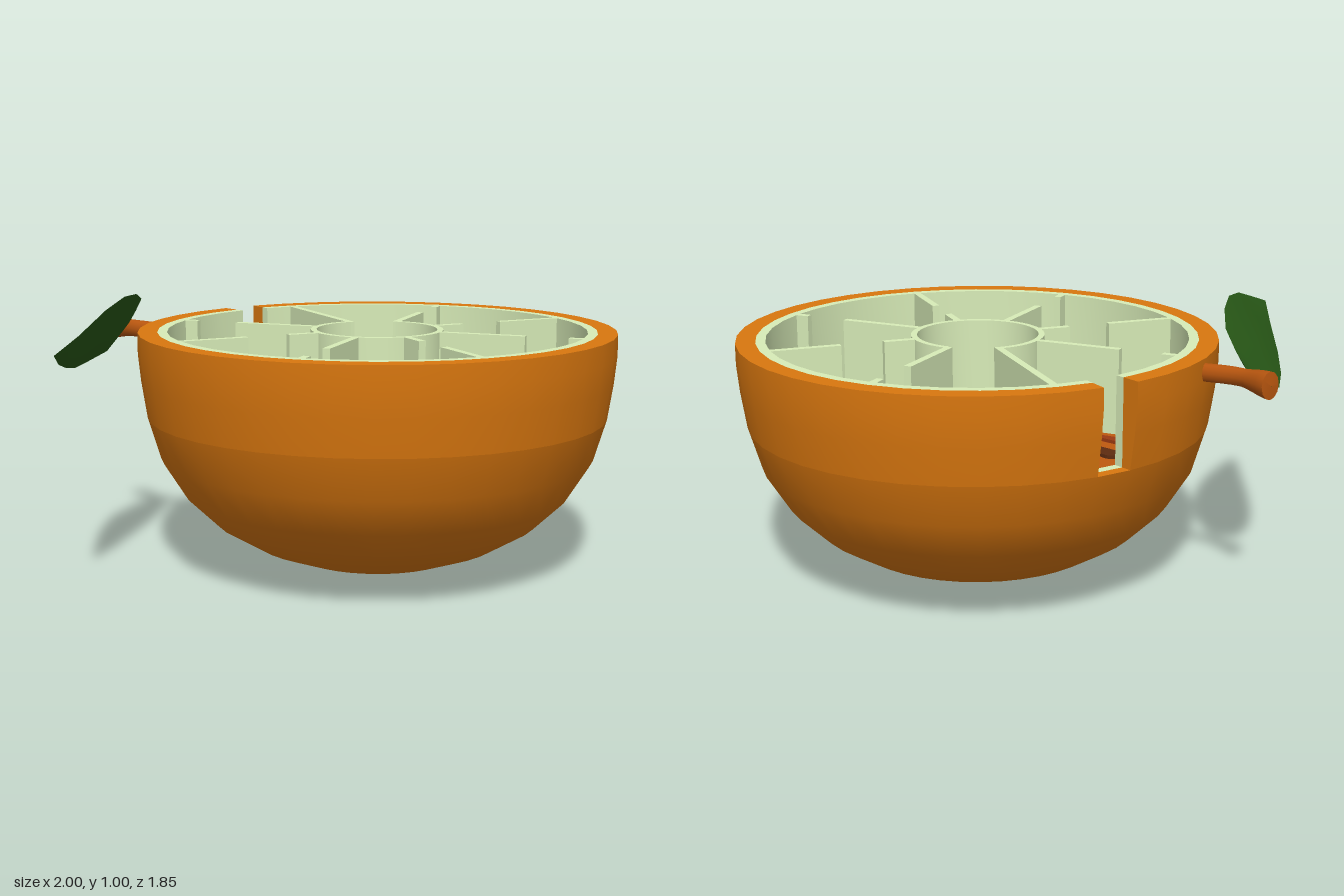
import * as THREE from 'three';
import { toCreasedNormals } from 'three/addons/utils/BufferGeometryUtils.js';

const FLOOR = 0.57, TOP = 0.875, SEG = 40;
const deg = THREE.MathUtils.degToRad;
const mat = (color, side = THREE.FrontSide) => {
  const m = new THREE.MeshStandardMaterial({ color, side });
  return m;
};
const rindMat = mat(0xd9770f), rindCut = mat(0xd9770f, THREE.DoubleSide);
const pithMat = mat(0xd8ecb8), pithCut = mat(0xd8ecb8, THREE.DoubleSide);
const pulpMat = mat(0xbf5a10), seedMat = mat(0x5f2c10), fleshMat = mat(0x9c3a12);
const leafMat = mat(0x2a5c18), stemMat = mat(0xb8560f);

const vecs = (pts) => pts.map(([x, y]) => new THREE.Vector2(x, y));

function add(parent, name, geometry, material) {
  const mesh = new THREE.Mesh(geometry, material);
  mesh.name = name;
  parent.add(mesh);
  return mesh;
}

// Revolved profile, optionally only part of the turn (degrees from +z)
function turned(parent, name, pts, material, start = 0, length = 360) {
  const segs = Math.round(SEG * length / 360);
  const geo = new THREE.LatheGeometry(vecs(pts), segs, deg(start), deg(length));
  return add(parent, name, toCreasedNormals(geo, 0.7), material);
}

// Partial ring with a flat cut face at each end
function cutRing(parent, name, pts, material, cutMaterial, start, length) {
  turned(parent, name, [...pts, pts[0]], material, start, length);
  for (const a of [start, start + length]) {
    const cap = add(parent, name + 'Cut', new THREE.ShapeGeometry(new THREE.Shape(vecs(pts))), cutMaterial);
    cap.rotation.y = deg(a - 90);
  }
}

// Upright divider along a radius; angle measured from +x towards +z
function divider(parent, angle, r0, r1) {
  const pivot = new THREE.Group();
  pivot.name = 'divider';
  pivot.rotation.y = -deg(angle);
  parent.add(pivot);
  const wall = add(pivot, 'dividerWall', new THREE.BoxGeometry(r1 - r0, TOP - FLOOR, 0.027), pithMat);
  wall.position.set((r0 + r1) / 2, (TOP + FLOOR) / 2, 0);
}

// Flat teardrop lying on the floor, point towards the middle
function teardrop(parent, name, angle, r0, r1, half, material) {
  const s = new THREE.Shape();
  const c = r1 - half;
  s.moveTo(r0, 0);
  s.lineTo(c, -half);
  s.absarc(c, 0, half, -Math.PI / 2, Math.PI / 2, false);
  s.lineTo(r0, 0);
  const geo = new THREE.ExtrudeGeometry(s, { depth: 0.012, bevelEnabled: false, curveSegments: 5 });
  geo.rotateX(-Math.PI / 2);
  const mesh = add(parent, name, geo, material);
  mesh.position.y = FLOOR;
  mesh.rotation.y = -deg(angle);
}

// Thin lens-shaped leaf from cross-sections: z, upper edge x/y, lower edge x/y
function leafGeometry() {
  const rows = [
    [-0.065, -0.86, 0.865, -0.862, 0.86], [-0.04, -0.82, 0.905, -0.885, 0.815],
    [0.03, -0.76, 0.96, -0.91, 0.755], [0.18, -0.705, 0.995, -0.914, 0.735],
    [0.35, -0.665, 1.005, -0.87, 0.74], [0.54, -0.64, 0.98, -0.80, 0.77],
    [0.77, -0.623, 0.92, -0.70, 0.82], [0.92, -0.63, 0.876, -0.632, 0.874],
  ];
  const pos = [], idx = [];
  for (const [z, ux, uy, lx, ly] of rows) {
    const mx = (ux + lx) / 2, my = (uy + ly) / 2;
    const w = Math.hypot(ux - lx, uy - ly), t = 0.035;
    const nx = -(uy - ly) * t, ny = (ux - lx) * t;
    pos.push(ux, uy, z, mx + nx, my + ny, z, lx, ly, z, mx - nx, my - ny, z);
  }
  for (let i = 0; i < rows.length - 1; i++) {
    for (let j = 0; j < 4; j++) {
      const a = i * 4 + j, b = i * 4 + (j + 1) % 4;
      idx.push(a, b, b + 4, a, b + 4, a + 4);
    }
  }
  const geo = new THREE.BufferGeometry();
  geo.setAttribute('position', new THREE.Float32BufferAttribute(pos, 3));
  geo.setIndex(idx);
  return toCreasedNormals(geo, 0.3);
}

// Tapered stem flaring at its free end
function stemGeometry() {
  const path = new THREE.CatmullRomCurve3([
    new THREE.Vector3(-0.985, 0.83, -0.165), new THREE.Vector3(-0.92, 0.83, -0.125),
    new THREE.Vector3(-0.84, 0.83, -0.088), new THREE.Vector3(-0.69, 0.825, -0.065),
  ]);
  const n = 14, radial = 12;
  const geo = new THREE.TubeGeometry(path, n, 1, radial);
  const p = geo.attributes.position, v = new THREE.Vector3();
  for (let i = 0; i < p.count; i++) {
    const t = Math.floor(i / (radial + 1)) / n;
    const c = path.getPointAt(t);
    const r = t === 0 ? 0.001 : 0.024 + 0.015 * Math.max(0, 1 - t * 2.6);
    v.fromBufferAttribute(p, i).sub(c).multiplyScalar(r);
    v.y *= 1.35;
    v.add(c);
    if (t > 0 && t < 1.5 / n) v.lerp(v.clone().add(path.getPointAt(0)).sub(c), 0.8);
    p.setXYZ(i, v.x, v.y, v.z);
  }
  geo.deleteAttribute('normal');
  return toCreasedNormals(geo, 0.8);
}

export function createModel() {
  const model = new THREE.Group();
  model.name = 'halfFruitMaze';
  const fruit = new THREE.Group();
  fruit.name = 'halfFruit';
  fruit.position.set(0.135, 0, -0.065);
  model.add(fruit);

  // Rind: solid lower bowl, then an upper wall with one doorway
  turned(fruit, 'lowerRind', [[0, 0], [0.15, 0.02], [0.30, 0.043], [0.455, 0.1], [0.59, 0.18],
    [0.70, 0.285], [0.785, 0.42], [0.83, FLOOR], [0.79, FLOOR]], rindMat);
  cutRing(fruit, 'upperRind', [[0.83, FLOOR], [0.85, 0.7], [0.86, 0.8], [0.86, TOP], [0.79, TOP], [0.79, FLOOR]],
    rindMat, rindCut, 243, 351);

  // Pith lining and its doorsill
  cutRing(fruit, 'pithWall', [[0.79, FLOOR], [0.79, TOP], [0.755, TOP], [0.755, FLOOR]], pithMat, pithCut, 243, 351);
  turned(fruit, 'pithSill', [[0.79, FLOOR], [0.755, FLOOR]], pithMat);

  // Pulp floor
  const floor = add(fruit, 'pulpFloor', new THREE.CircleGeometry(0.755, SEG), pulpMat);
  floor.rotation.x = -Math.PI / 2;
  floor.position.y = FLOOR;

  // Open ring in the middle
  cutRing(fruit, 'coreRing', [[0.24, FLOOR], [0.24, TOP], [0.218, TOP], [0.218, FLOOR]], pithMat, pithCut, 225, 315);

  // Maze dividers: straight ones with an outer gap, diagonal ones with a middle gap
  for (let k = 0; k < 4; k++) {
    divider(fruit, k * 90, 0.225, k % 2 ? 0.525 : 0.55);
    divider(fruit, k * 90, 0.705, 0.765);
    if (k === 2) {
      divider(fruit, 225, 0.218, 0.765);
    } else {
      divider(fruit, 45 + k * 90, 0.23, 0.35);
      divider(fruit, 45 + k * 90, 0.505, 0.765);
    }
  }

  // A dark seed and two paler streaks in each segment
  for (let k = 0; k < 8; k++) {
    const a = 22.5 + k * 45;
    teardrop(fruit, 'seed', a, 0.28, 0.71, 0.032, seedMat);
    for (const s of [-1, 1]) teardrop(fruit, 'fleshStreak', a + s * 12.5, 0.41, 0.69, 0.03, fleshMat);
  }

  // Stem and leaf on the right side
  add(model, 'stem', stemGeometry(), stemMat);
  add(model, 'leaf', leafGeometry(), leafMat);
  return model;
}
